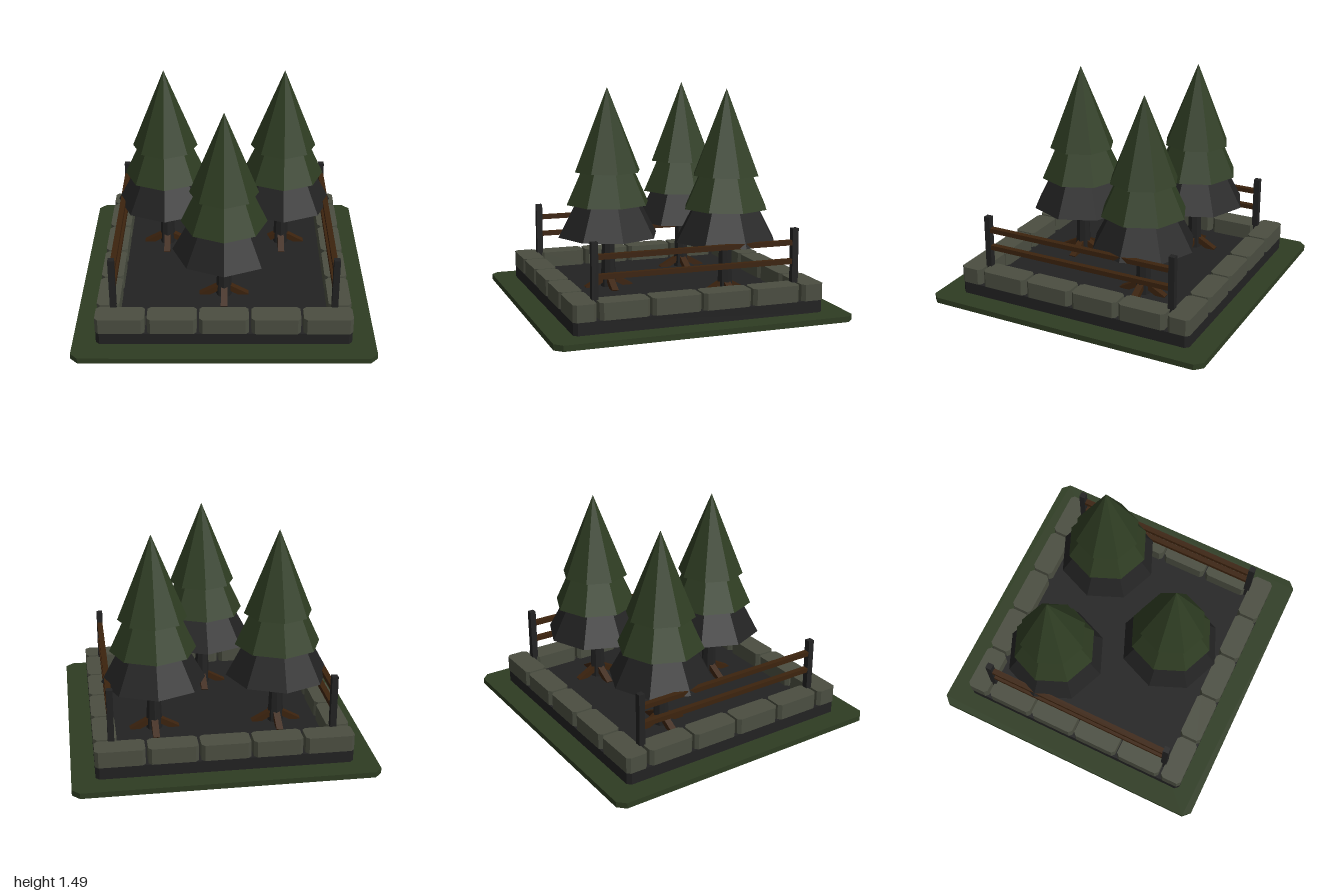
import * as THREE from 'three';

const mat = (name, color) => {
  const m = new THREE.MeshStandardMaterial({ color, flatShading: true });
  m.name = name;
  return m;
};

// Upright slab with chamfered corners in plan
function slab(w, d, h, c) {
  const x = w / 2, z = d / 2;
  const pts = [[x - c, -z], [x, -z + c], [x, z - c], [x - c, z],
    [-x + c, z], [-x, z - c], [-x, -z + c], [-x + c, -z]];
  const shape = new THREE.Shape(pts.map(([a, b]) => new THREE.Vector2(a, b)));
  return new THREE.ExtrudeGeometry(shape, { depth: h, bevelEnabled: false }).rotateX(-Math.PI / 2);
}

export function createModel() {
  const green = mat('leaf green', 0x2e3c22);
  const dark = mat('charcoal', 0x222222);
  const stone = mat('grey stone', 0x4b4e41);
  const brown = mat('brown wood', 0x3c230e);

  const model = new THREE.Group();
  model.name = 'treeGarden';
  const add = (parent, name, geo, material, x, y, z) => {
    const m = new THREE.Mesh(geo, material);
    m.name = name;
    m.position.set(x, y, z);
    parent.add(m);
    return m;
  };

  // Ground and raised bed
  const soilTop = 0.12;
  add(model, 'lawn', slab(2, 2, 0.038, 0.05), green, 0, 0, 0);
  add(model, 'soilBed', slab(1.69, 1.69, soilTop - 0.038, 0.025), dark, 0, 0.038, 0);

  // Stone border: five per front and back row, four per side
  const longStone = slab(0.325, 0.152, 0.11, 0.022);
  const sideStone = slab(0.152, 0.325, 0.11, 0.022);
  for (const s of [-1, 1]) {
    for (let i = 0; i < 5; i++) add(model, 'borderStone', longStone, stone, (i - 2) * 0.342, soilTop, s * 0.771);
    for (let i = 0; i < 4; i++) add(model, 'borderStone', sideStone, stone, s * 0.771, soilTop, (i - 1.5) * 0.342);
  }

  // Fences on both sides
  const post = new THREE.BoxGeometry(0.042, 0.47, 0.042);
  const rail = new THREE.BoxGeometry(0.038, 0.032, 1.36);
  for (const s of [-1, 1]) {
    const fence = new THREE.Group();
    fence.name = s > 0 ? 'leftFence' : 'rightFence';
    for (const z of [-0.682, 0.682]) add(fence, 'fencePost', post, dark, s * 0.733, 0.355, z);
    for (const y of [0.37, 0.495]) add(fence, 'fenceRail', rail, brown, s * 0.733, y, 0);
    model.add(fence);
  }

  // Fir trees: trunk, sloping roots and three tiers
  const trunk = new THREE.CylinderGeometry(0.04, 0.055, 0.42, 8);
  const root = new THREE.BoxGeometry(0.17, 0.04, 0.045);
  const tiers = [[0.35, 0.48, 1.13, dark], [0.29, 0.7, 1.33, green], [0.23, 0.92, 1.49, green]];
  for (const [x, z] of [[-0.42, -0.325], [0.42, -0.325], [0, 0.37]]) {
    const tree = new THREE.Group();
    tree.name = 'firTree';
    tree.position.set(x, 0, z);
    add(tree, 'trunk', trunk, dark, 0, soilTop + 0.21, 0);
    for (let i = 0; i < 4; i++) {
      const arm = new THREE.Group();
      arm.name = 'root';
      arm.rotation.y = i * Math.PI / 2;
      add(arm, 'rootBeam', root, brown, 0.085, 0.15, 0).rotation.z = -0.5;
      tree.add(arm);
    }
    for (const [r, y0, y1, m] of tiers) {
      add(tree, 'foliageTier', new THREE.ConeGeometry(r, y1 - y0, 8), m, 0, (y0 + y1) / 2, 0);
    }
    model.add(tree);
  }
  return model;
}
